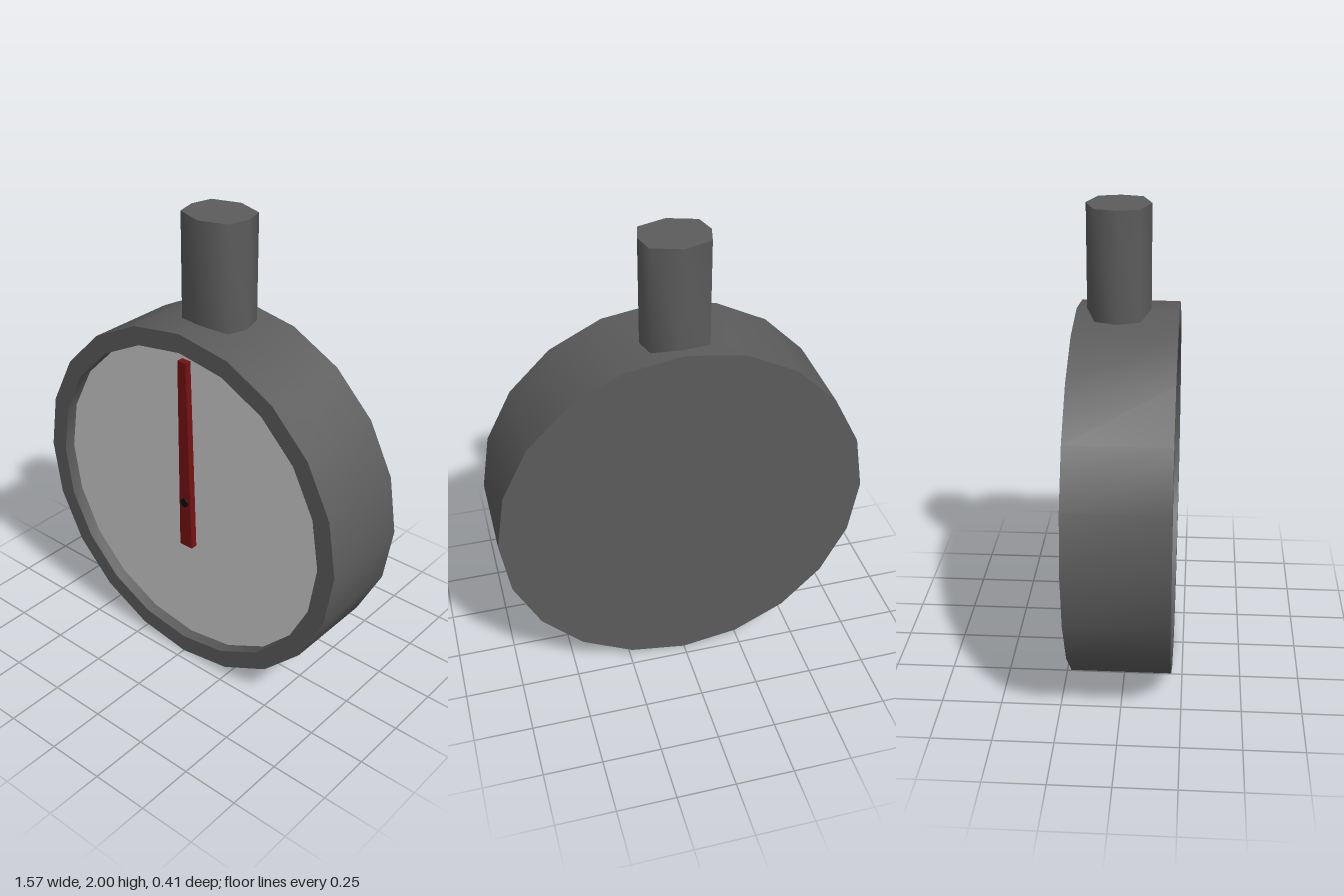
import * as THREE from 'three';
import { toCreasedNormals } from 'three/addons/utils/BufferGeometryUtils.js';

const SIDES = 20;
const CENTRE_Y = 0.786;
const DIAL_Z = 0.155;

function part(name, geometry, color) {
  const mesh = new THREE.Mesh(geometry, new THREE.MeshStandardMaterial({ color }));
  mesh.name = name;
  return mesh;
}

// Closed outline pushed along +z
function prism(points, depth) {
  const shape = new THREE.Shape(points.map(([x, y]) => new THREE.Vector2(x, y)));
  return new THREE.ExtrudeGeometry(shape, { depth, bevelEnabled: false });
}

export function createModel() {
  const model = new THREE.Group();
  model.name = 'gauge';
  const dark = 0x5c5c5c;

  // Case: closed back, outer wall, front rim and recess wall in one profile
  const profile = [[0, -0.207], [0.786, -0.207], [0.786, 0.207], [0.705, 0.207], [0.705, DIAL_Z]]
    .map(([r, y]) => new THREE.Vector2(r, y));
  const caseGeometry = new THREE.LatheGeometry(profile, SIDES).rotateX(Math.PI / 2);
  const body = part('case', toCreasedNormals(caseGeometry, 0.6), dark);
  body.position.y = CENTRE_Y;
  model.add(body);

  // Dial face at the bottom of the recess
  const dial = part('dial', new THREE.CircleGeometry(0.705, SIDES), 0xcccccc);
  dial.position.set(0, CENTRE_Y, DIAL_Z);
  model.add(dial);

  // Tapered needle
  const needle = part('needle',
    prism([[-0.03, 0.565], [0.035, 0.565], [0.012, 1.44], [-0.03, 1.44]], 0.03), 0x741212);
  needle.position.z = DIAL_Z;
  model.add(needle);

  // Pivot pin
  const pin = part('pivotPin', new THREE.CylinderGeometry(0.02, 0.02, 0.04, 12).rotateX(Math.PI / 2), 0x0c0c0c);
  pin.position.set(0, CENTRE_Y, DIAL_Z + 0.017);
  model.add(pin);

  // Eight-sided stem on top, set slightly towards the back
  const outline = [[0.143, 0], [0.12, 0.09], [0, 0.13], [-0.12, 0.09],
    [-0.143, 0], [-0.12, -0.09], [0, -0.13], [0.12, -0.09]];
  const stemGeometry = prism(outline, 0.48).rotateX(-Math.PI / 2);
  const stem = part('stem', toCreasedNormals(stemGeometry, 1.1), dark);
  stem.position.set(0, 1.52, -0.035);
  model.add(stem);

  return model;
}
